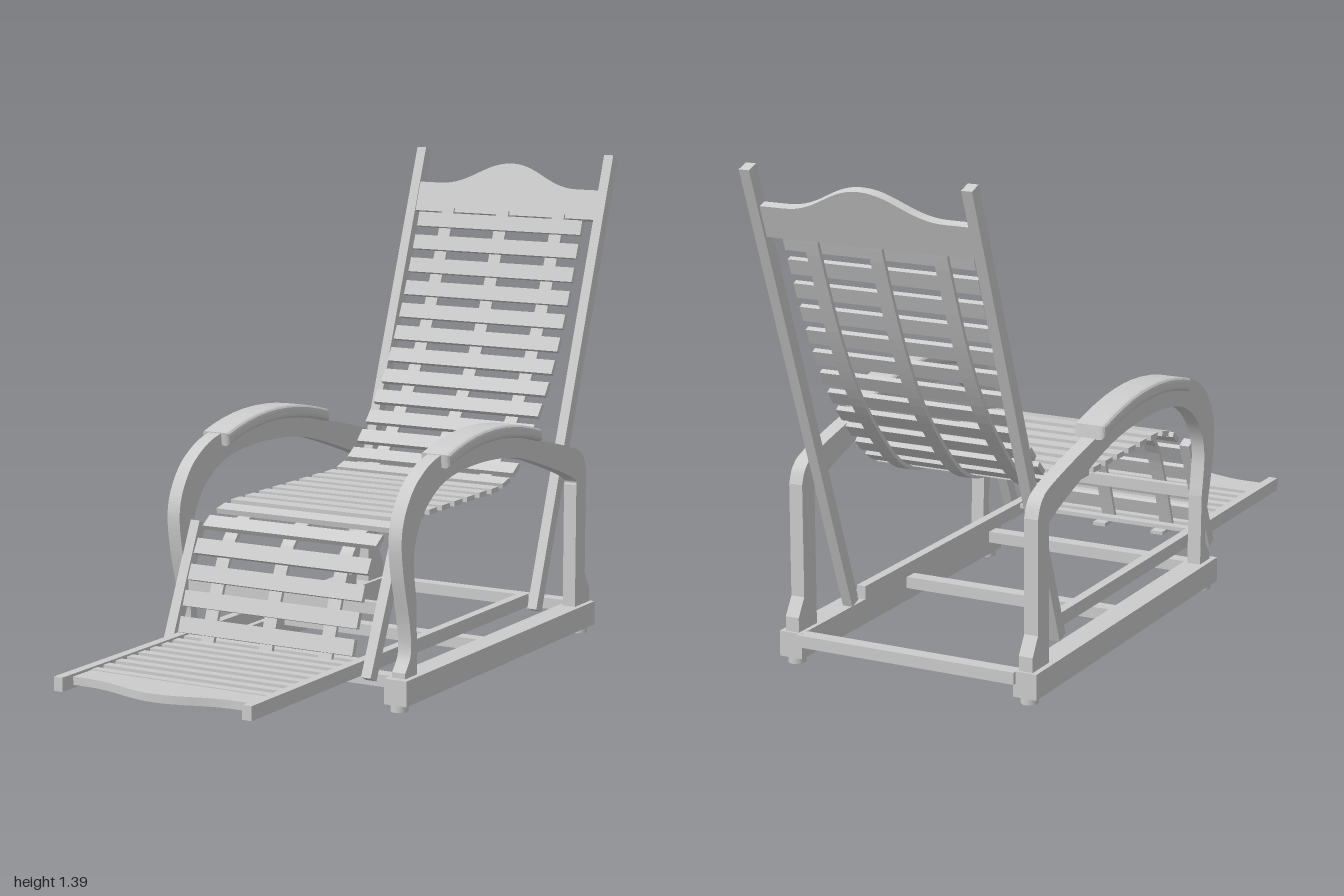
import * as THREE from 'three';

const mat = new THREE.MeshStandardMaterial({ color: 0xcccccc, side: THREE.DoubleSide });
const V = (z, y) => new THREE.Vector2(z, y);

export function createModel() {
  const root = new THREE.Group();

  function add(name, geo, x = 0, y = 0, z = 0, rx = 0) {
    const m = new THREE.Mesh(geo, mat);
    m.name = name;
    m.position.set(x, y, z);
    m.rotation.x = rx;
    root.add(m);
    return m;
  }
  const box = (name, w, h, d, x, y, z, rx) => add(name, new THREE.BoxGeometry(w, h, d), x, y, z, rx);

  // Side profile (z, y) extruded across x, centred on x
  function sideExtrude(name, shape, width, x, bevel = 0) {
    const depth = width - 2 * bevel;
    const geo = new THREE.ExtrudeGeometry(shape, {
      depth, curveSegments: 10, bevelEnabled: bevel > 0,
      bevelThickness: bevel, bevelSize: bevel, bevelOffset: -bevel, bevelSegments: 3,
    });
    geo.translate(0, 0, -depth / 2);
    geo.rotateY(-Math.PI / 2);
    return add(name, geo, x);
  }

  // Straight bar between two (z, y) points
  function bar(name, a, b, width, thick, x) {
    const dz = b.x - a.x, dy = b.y - a.y;
    box(name, width, Math.hypot(dz, dy), thick, x, (a.y + b.y) / 2, (a.x + b.x) / 2, Math.atan2(dz, dy));
  }

  // Board with a raised wave along one edge; lies in xy with its straight edge on y = 0
  function waveBoard(halfW, side, peak, thick) {
    const s = new THREE.Shape();
    s.moveTo(-halfW, 0);
    s.lineTo(halfW, 0);
    s.lineTo(halfW, side);
    s.lineTo(0.23, side);
    s.bezierCurveTo(0.13, side, 0.09, peak, 0, peak);
    s.bezierCurveTo(-0.09, peak, -0.13, side, -0.23, side);
    s.lineTo(-halfW, side);
    const geo = new THREE.ExtrudeGeometry(s, { depth: thick, bevelEnabled: false, curveSegments: 16 });
    return geo.translate(0, 0, -thick / 2);
  }

  // Bent arm frame outline: outer edge front to back, then inner edge back to front
  const arm = new THREE.Shape();
  arm.moveTo(0.345, 0.09);
  arm.lineTo(0.345, 0.105);
  arm.splineThru([V(0.315, 0.15), V(0.32, 0.23), V(0.355, 0.37), V(0.365, 0.475), V(0.335, 0.555),
    V(0.27, 0.62), V(0.155, 0.665), V(-0.08, 0.685), V(-0.4, 0.625), V(-0.64, 0.567), V(-0.705, 0.535), V(-0.727, 0.49)]);
  arm.lineTo(-0.727, 0.18);
  arm.lineTo(-0.757, 0.13);
  arm.lineTo(-0.757, 0.09);
  arm.lineTo(-0.665, 0.09);
  arm.lineTo(-0.665, 0.45);
  arm.splineThru([V(-0.65, 0.475), V(-0.5, 0.53), V(-0.29, 0.59), V(-0.08, 0.61), V(0.11, 0.595),
    V(0.22, 0.545), V(0.28, 0.475), V(0.3, 0.4), V(0.285, 0.29)]);
  arm.lineTo(0.28, 0.09);

  // Arched armrest pad outline
  const pad = new THREE.Shape();
  pad.moveTo(0.15, 0.63);
  pad.lineTo(0.155, 0.667);
  pad.quadraticCurveTo(-0.1, 0.745, -0.395, 0.66);
  pad.lineTo(-0.4, 0.623);
  pad.quadraticCurveTo(-0.1, 0.706, 0.15, 0.63);

  const postFoot = V(-0.51, 0.105), postTop = V(-0.98, 1.385);
  const tilt = Math.atan2(postTop.x - postFoot.x, postTop.y - postFoot.y);

  for (const s of [-1, 1]) {
    box('baseRail', 0.068, 0.07, 1.13, s * 0.351, 0.055, -0.2);
    for (const z of [0.34, -0.735])
      add('foot', new THREE.CylinderGeometry(0.024, 0.024, 0.022, 16), s * 0.35, 0.011, z);
    sideExtrude('armFrame', arm, 0.04, s * 0.35);
    sideExtrude('armrest', pad, 0.09, s * 0.35, 0.012);
    bar('backPost', postFoot, postTop, 0.03, 0.036, s * 0.316);
    bar('legPost', V(0.445, 0.105), V(0.295, 0.44), 0.03, 0.034, s * 0.316);
    box('footrestRail', 0.027, 0.038, 1.5, s * 0.288, 0.135, 0.25);
  }

  // Cross members of the base and the leg posts
  for (const z of [0.31, -0.18, -0.755])
    box('baseCrossbar', 0.65, 0.033, 0.042, 0, 0.073, z);
  box('legCrossbar', 0.61, 0.033, 0.022, 0, 0.278, 0.358);

  // Seat, back and leg support follow one curve (z, y), running from foot to head
  const path = new THREE.SplineCurve([V(0.45, 0.14), V(0.4, 0.28), V(0.345, 0.395), V(0.29, 0.445),
    V(0.2, 0.468), V(0.08, 0.47), V(-0.1, 0.47), V(-0.25, 0.47), V(-0.37, 0.472), V(-0.46, 0.5),
    V(-0.55, 0.573), V(-0.68, 0.73), V(-0.78, 0.91), V(-0.87, 1.13), V(-0.9, 1.215)]);
  const normal = (t) => new THREE.Vector2(t.y, -t.x);

  // Three long strips under the slats
  const upper = [], lower = [];
  for (let i = 0; i <= 60; i++) {
    const p = path.getPointAt(i / 60), n = normal(path.getTangentAt(i / 60));
    upper.push(p.clone().addScaledVector(n, 0.005));
    lower.unshift(p.clone().addScaledVector(n, -0.006));
  }
  const strip = new THREE.Shape([...upper, ...lower]);
  const stripX = [-0.186, 0, 0.186];
  for (const x of stripX) sideExtrude('supportStrip', strip, 0.04, x);

  // Slats spaced evenly along the curve
  const count = 27;
  for (let i = 0; i < count; i++) {
    const u = 0.022 + (i / (count - 1)) * 0.957;
    const t = path.getTangentAt(u);
    const p = path.getPointAt(u).addScaledVector(normal(t), 0.012);
    box('slat', 0.55, 0.015, 0.044, 0, p.y, p.x, Math.atan2(t.y, -t.x));
  }

  // Headboard between the back posts
  add('headboard', waveBoard(0.302, 0.09, 0.16, 0.024), 0, 1.2, -0.909, tilt);

  // Sliding footrest: slats, strips and shaped end board
  for (let i = 0; i < 9; i++)
    box('footrestSlat', 0.55, 0.012, 0.028, 0, 0.143, 0.42 + i * 0.0545);
  for (const x of stripX) box('footrestStrip', 0.038, 0.01, 0.51, x, 0.132, 0.635);
  add('footrestEndBoard', waveBoard(0.276, 0.08, 0.125, 0.022), 0, 0.136, 0.872, Math.PI / 2);

  return root;
}
